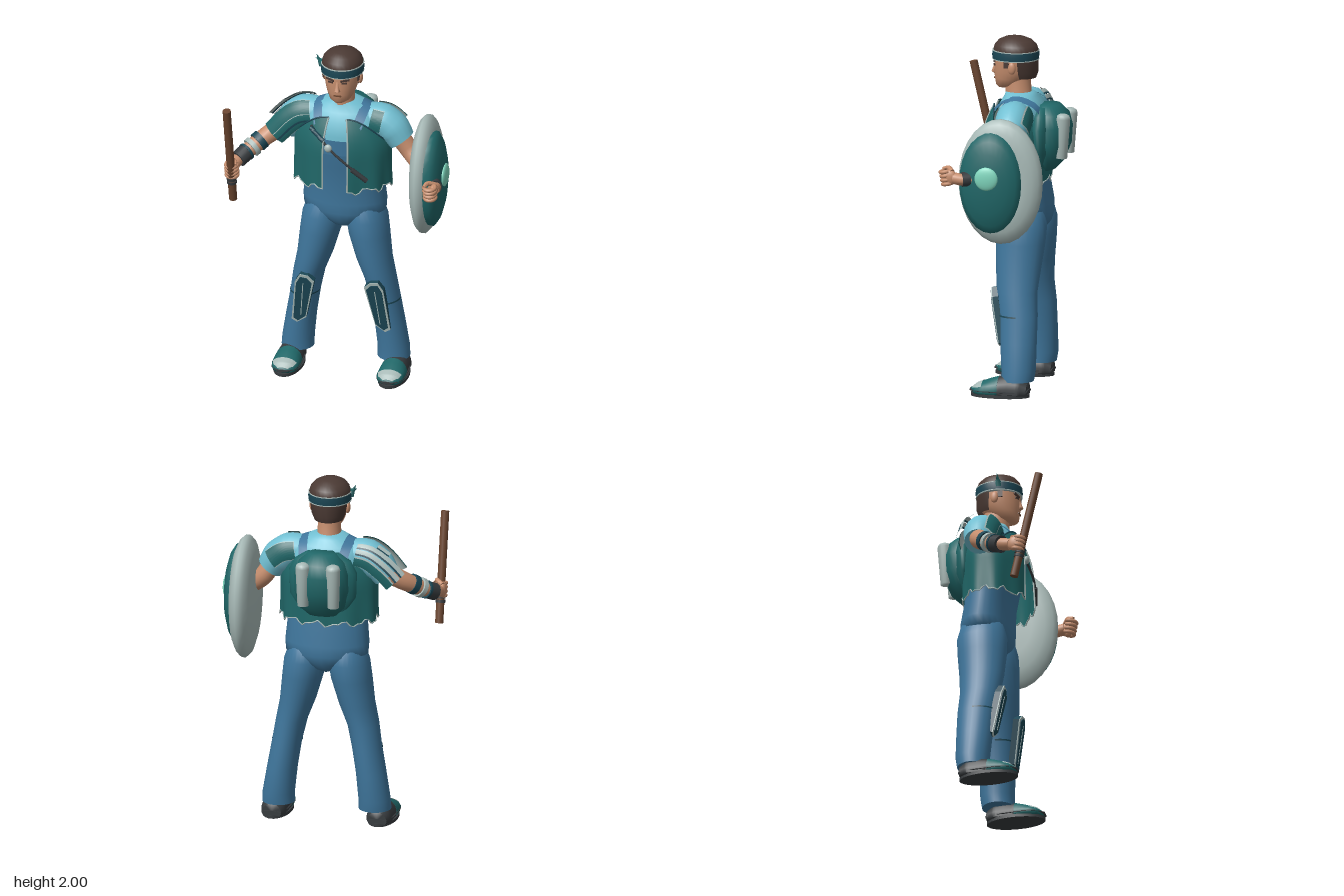
import * as THREE from 'three';
import { toCreasedNormals } from 'three/addons/utils/BufferGeometryUtils.js';

const mat = (name, color) => new THREE.MeshStandardMaterial({ name, color, side: THREE.DoubleSide });
const V = (x, y, z) => new THREE.Vector3(x, y, z);

// Grid surface from fn(u, v), u around and v along
function surface(nu, nv, fn, crease = 1) {
  const pos = [], idx = [];
  for (let j = 0; j <= nv; j++) for (let i = 0; i <= nu; i++) pos.push(...fn(i / nu, j / nv, j));
  for (let j = 0; j < nv; j++) for (let i = 0; i < nu; i++) {
    const a = j * (nu + 1) + i, c = a + nu + 1;
    idx.push(a, a + 1, c, a + 1, c + 1, c);
  }
  const g = new THREE.BufferGeometry();
  g.setAttribute('position', new THREE.Float32BufferAttribute(pos, 3));
  g.setIndex(idx);
  return toCreasedNormals(g, crease);
}

// Stack of horizontal ellipses [y, cx, cz, rx, rz]; optional arc, capped when closed
function loft(rings, a0 = 0, a1 = Math.PI * 2) {
  const shut = r => [r[0], r[1], r[2], 0, 0];
  const rows = a1 - a0 > 6.28 ? [shut(rings[0]), ...rings, shut(rings.at(-1))] : rings;
  return surface(28, rows.length - 1, (u, v, j) => {
    const [y, cx, cz, rx, rz] = rows[j], a = a0 + u * (a1 - a0);
    return [cx + rx * Math.sin(a), y, cz + rz * Math.cos(a)];
  });
}

// Limb along points [x, y, z, width, height]; angle 0 is the upper side
function limb(points, { a0 = 0, a1 = Math.PI * 2, steps = 12, floor = -1 } = {}) {
  const curve = new THREE.CatmullRomCurve3(points.map(p => V(p[0], p[1], p[2])));
  const closed = a1 - a0 > 6.28, n = closed ? steps + 2 : steps;
  return surface(18, n, (u, v, j) => {
    const t = THREE.MathUtils.clamp((closed ? j - 1 : j) / steps, 0, 1);
    const k = Math.min(Math.floor(t * (points.length - 1)), points.length - 2), f = t * (points.length - 1) - k;
    const end = closed && (j === 0 || j === n) ? 0 : 1;
    const w = end * THREE.MathUtils.lerp(points[k][3], points[k + 1][3], f);
    const h = end * THREE.MathUtils.lerp(points[k][4] ?? points[k][3], points[k + 1][4] ?? points[k + 1][3], f);
    const T = curve.getTangent(t), S = T.clone().cross(V(0, 1, 0)).normalize(), N = S.clone().cross(T);
    const a = a0 + u * (a1 - a0);
    const p = curve.getPoint(t).addScaledVector(S, w * Math.sin(a)).addScaledVector(N, h * Math.cos(a));
    return [p.x, Math.max(p.y, floor), p.z];
  });
}

export function createModel() {
  const model = new THREE.Group();
  model.name = 'fighter';
  const skin = mat('skin', 0xc68e6e), hair = mat('hair brown', 0x4b3a34), teal = mat('teal', 0x206768);
  const dark = mat('dark teal', 0x1b4654), shirt = mat('shirt blue', 0x72c0d3), denim = mat('denim blue', 0x3f769c);
  const grey = mat('pale grey', 0xa8bab7), coal = mat('charcoal', 0x383c3f), wood = mat('wood', 0x6b4630), mint = mat('mint', 0x7fd6bd);

  const add = (name, geo, material, parent = model) => {
    const m = new THREE.Mesh(geo, material);
    m.name = name;
    parent.add(m);
    return m;
  };
  const ball = (name, p, s, material, parent) => {
    const m = add(name, new THREE.SphereGeometry(1, 24, 16), material, parent);
    m.position.set(...p); m.scale.set(...s);
  };
  const box = (name, p, s, material, parent, ry = 0, rz = 0) => {
    const m = add(name, new THREE.BoxGeometry(...s), material, parent);
    m.position.set(...p); m.rotation.set(0, ry, rz);
  };
  const tube = (name, pts, r, material) =>
    add(name, new THREE.TubeGeometry(new THREE.CatmullRomCurve3(pts.map(p => V(...p))), 60, r, 6), material);

  // Overalls and shirt
  add('overallsBody', loft([[.885, 0, -.1, .03, .05], [.91, 0, -.1, .08, .1], [.95, 0, -.1, .16, .135], [1.0, 0, -.1, .235, .148],
    [1.06, 0, -.098, .24, .148], [1.19, 0, -.085, .228, .138], [1.3, 0, -.07, .23, .145], [1.4, 0, -.06, .235, .15]]), denim);
  add('bib', loft([[1.39, 0, -.06, .24, .155], [1.48, 0, -.06, .25, .156]], -.42, .42), denim);
  add('shirtBody', loft([[1.39, 0, -.06, .233, .148], [1.5, 0, -.06, .24, .15], [1.58, 0, -.065, .23, .14],
    [1.63, 0, -.07, .19, .115], [1.665, 0, -.065, .13, .09], [1.685, 0, -.06, .08, .08]]), shirt);
  add('neck', loft([[1.62, 0, -.06, .075, .08], [1.68, 0, -.05, .066, .074], [1.77, 0, -.045, .064, .072]]), skin);

  // Both sides: leg, knee pad, shoe, brace, sleeve, bottle, face halves
  for (const s of [1, -1]) {
    const side = new THREE.Group();
    side.name = s > 0 ? 'leftSide' : 'rightSide';
    side.scale.x = s;
    model.add(side);
    add('trouserLeg', loft([[.09, .277, -.11, .092, .092], [.15, .275, -.115, .09, .097], [.3, .255, -.11, .085, .103],
      [.45, .23, -.105, .083, .108], [.58, .205, -.09, .088, .115], [.7, .17, -.09, .1, .127],
      [.85, .14, -.095, .115, .14], [.95, .125, -.1, .118, .142], [1.03, .115, -.1, .1, .122], [1.1, .1, -.095, .07, .08]]), denim, side);
    add('kneeStrap', loft([[.447, .231, -.105, .087, .112], [.456, .229, -.105, .087, .112]], -1.5, 1.6), dark, side);
    const pad = new THREE.Group();
    pad.name = 'kneePad';
    pad.position.set(.215, .445, -.012);
    pad.rotation.x = .17;
    side.add(pad);
    const outline = [[-.07, .125], [-.035, .16], [.01, .165], [.04, .115], [.07, -.145], [.04, -.165], [-.015, -.125]];
    const plate = (k, depth) => new THREE.ExtrudeGeometry(
      new THREE.Shape(outline.map(p => new THREE.Vector2(p[0] * k, p[1] * (k + 1) / 2))), { depth, bevelEnabled: false });
    add('padBody', plate(1, .034), dark, pad);
    add('padRim', plate(1, .006), grey, pad).position.z = .034;
    add('padFace', plate(.82, .045), dark, pad);
    box('padRidge', [.003, 0, .044], [.005, .22, .006], grey, pad, 0, .1);
    // Shoe with a pale patch on the toe, over a flat sole
    const shoe = (name, pts, m, arc) => add(name, limb(pts.map(([z, w, top]) => [.303, .035, z, w, top - .035]), { floor: .015, ...arc }), m, side);
    shoe('shoeHeel', [[-.175, .055, .085], [-.13, .07, .12], [-.07, .072, .125], [-.01, .076, .115]], coal);
    shoe('shoeFront', [[-.012, .077, .116], [.04, .08, .1], [.085, .076, .082], [.12, .062, .066], [.148, .025, .045]], teal);
    shoe('shoeToePatch', [[.08, .079, .087], [.113, .068, .073], [.14, .034, .052]], grey, { a0: -1.05, a1: 1.05 });
    shoe('shoeWelt', [[-.18, .055, .045], [-.08, .078, .045], [.05, .084, .045], [.11, .07, .045], [.153, .03, .043]], coal);
    add('sole', loft([[0, .303, -.015, .083, .168], [.018, .303, -.015, .083, .168]]), coal, side);
    // Brace over the shoulder
    add('brace', surface(1, 16, (u, v) => {
      const p = new THREE.CatmullRomCurve3([V(.085, 1.45, .094), V(.115, 1.58, .073), V(.135, 1.655, -.02),
        V(.135, 1.665, -.08), V(.12, 1.61, -.19), V(.1, 1.45, -.218)]).getPoint(v);
      return [p.x + (u - .5) * .05, p.y - (u - .5) * .02, p.z];
    }), denim, side);
    add('sleeve', limb([[.13, 1.575, -.07, .082], [.22, 1.565, -.07, .097], [.285, 1.52, -.07, .095], [.335, 1.455, -.067, .078]]), shirt, side);
    // Pack bottle with a rounded top
    const bottle = add('bottle', new THREE.LatheGeometry([[0, -.125], [.032, -.125], [.041, .1], [.035, .118], [.018, .127], [0, .128]]
      .map(p => new THREE.Vector2(...p)), 18), grey, side);
    bottle.position.set(.087, 1.455, -.322);
    bottle.rotation.x = -.04;
    ball('ear', [.103, 1.83, -.035], [.014, .034, .022], skin, side);
    box('eye', [.04, 1.838, .079], [.03, .008, .008], hair, side, .3);
    box('brow', [.043, 1.855, .079], [.052, .011, .008], hair, side, .3, .2);
    box('sideburn', [.1, 1.85, -.003], [.009, .04, .028], hair, side);
  }

  // Open vest with folds, low armholes, flared front edges and a ragged hem
  const vestPoint = (u, v) => {
    const a = .27 + u * (Math.PI * 2 - .54), sideways = Math.sin(a) ** 4;
    const hem = 1.195 + .014 * Math.sin(a * 11) + .01 * Math.sin(a * 23);
    const y = THREE.MathUtils.lerp(hem, 1.615 - .16 * sideways, v);
    const taper = 1 - .26 * Math.max(0, (y - 1.4) / .2) ** 2 + .025 * Math.sin(a * 9) * (1 - v);
    const flare = .022 * Math.exp(-((u / .05) ** 2)) + .008 * Math.exp(-(((1 - u) / .05) ** 2));
    return [.277 * taper * Math.sin(a), y, -.047 + .183 * taper * Math.cos(a) + flare * (1 - v)];
  };
  add('vest', surface(72, 10, vestPoint), teal);
  const edge = (n, fn) => Array.from({ length: n + 1 }, (_, i) => fn(i / n));
  for (const u of [0, 1]) tube('vestFrontTrim', edge(8, t => vestPoint(u, t)), .005, grey);
  tube('vestHemTrim', edge(72, t => vestPoint(t, 0)), .004, grey);
  tube('vestTopTrim', edge(36, t => vestPoint(t, 1)), .005, dark);

  // Backpack, wide where it meets the vest
  add('backpackBase', loft([[1.27, 0, -.2, .13, .03], [1.36, 0, -.2, .19, .065], [1.5, 0, -.2, .195, .07],
    [1.57, 0, -.2, .16, .06], [1.61, 0, -.2, .1, .04]]), teal);
  add('backpack', loft([[1.25, 0, -.22, .08, .04], [1.3, 0, -.23, .13, .08], [1.4, 0, -.235, .155, .115],
    [1.5, 0, -.235, .155, .122], [1.57, 0, -.235, .13, .105], [1.62, 0, -.23, .075, .06]]), teal);

  // Shoulder guards: teal shells on pale rims, and loose pale feathers
  const shell = (name, s, a0, a1, from, to, grow, m, flare = 0) => add(name, limb(
    [[.17, 1.572, -.07, .1], [.235, 1.56, -.07, .106], [.3, 1.512, -.068, .106], [.375, 1.43, -.062, .1]]
      .slice(from, to).map((p, i) => [s * p[0], p[1], p[2], p[3] + grow + flare * i]), { a0, a1 }), m);
  for (const [s, a0, a1, from, to] of [[-1, -2.1, -1.3, 0, 4], [-1, -1.4, -.5, 0, 4], [-1, 1.4, 2, 0, 4], [1, .6, 1.9, 0, 2], [1, -1.9, -.8, 0, 3]]) {
    shell('guardRim', s, a0, a1, from, to, 0, grey);
    shell('guardFace', s, a0 + .07, a1 - .07, from, to, .006, teal);
  }
  [[.3, 1, 3], [.65, 0, 4], [1, 0, 4]].forEach(([a, from, to]) => {
    shell('guardFeather', -1, a, a + .22, from, to, .004, grey, .006);
    shell('guardFeatherEdge', -1, a + .22, a + .31, from, to, .004, dark, .006);
  });
  shell('guardStripe', -1, -1.75, -1.65, 0, 4, .011, dark);

  // Diagonal chest strap with two grips and a buckle
  tube('chestStrap', [[-.15, 1.56, .09], [-.04, 1.45, .13], [.08, 1.36, .148], [.18, 1.27, .12]], .007, coal);
  add('strapGrip', limb([[-.15, 1.55, .1, .013], [-.07, 1.49, .13, .013]]), dark);
  add('strapGrip', limb([[.1, 1.34, .148, .014], [.18, 1.27, .125, .014]]), coal);
  ball('buckle', [-.04, 1.45, .135], [.022, .024, .015], grey);

  // Head
  add('face', loft([[1.705, 0, .035, .03, .03], [1.72, 0, .015, .058, .063], [1.76, 0, -.012, .08, .096],
    [1.8, 0, -.025, .092, .113], [1.86, 0, -.03, .102, .117], [1.93, 0, -.03, .1, .115]]), skin);
  add('nose', loft([[1.782, 0, .083, .014, .008], [1.79, 0, .083, .018, .022], [1.815, 0, .08, .011, .016], [1.85, 0, .076, .008, .01]]), skin);
  box('mouth', [0, 1.757, .082], [.044, .008, .008], wood);
  add('hairCap', loft([[1.88, 0, -.035, .113, .125], [1.92, 0, -.035, .117, .128], [1.95, 0, -.034, .108, .118],
    [1.975, 0, -.032, .085, .094], [1.992, 0, -.03, .05, .056], [2, 0, -.03, .012, .014]]), hair);
  add('hairBack', loft([[1.765, 0, -.05, .083, .1], [1.8, 0, -.042, .1, .12], [1.89, 0, -.035, .114, .126]], 1.8, 4.48), hair);
  add('headband', loft([[1.868, 0, -.033, .119, .13], [1.895, 0, -.034, .122, .133], [1.92, 0, -.035, .119, .13]]), dark);
  for (const y of [1.87, 1.919]) add('headbandEdge', loft([[y - .0025, 0, -.034, .121, .132], [y + .0025, 0, -.034, .121, .132]]), grey);
  for (const [r, length] of [[.45, .075], [1.1, .05]]) {
    const tail = add('headbandKnot', new THREE.ConeGeometry(.02, length, 4), teal);
    tail.position.set(-.128, 1.925, -.01);
    tail.rotation.z = r;
  }

  // Arms, bands and fists
  add('rightArm', limb([[-.31, 1.49, -.07, .056], [-.41, 1.425, -.035, .053], [-.5, 1.36, .045, .046], [-.555, 1.32, .11, .035], [-.575, 1.3, .18, .033]]), skin);
  add('leftArm', limb([[.31, 1.49, -.07, .056], [.39, 1.38, -.07, .052], [.49, 1.31, .01, .046], [.575, 1.285, .12, .034], [.58, 1.295, .19, .033]]), skin);
  const band = (name, a, b, r, m) => add(name, limb([[...a, r], [...b, r]], { steps: 2 }), m);
  band('upperBand', [-.455, 1.397, .002], [-.478, 1.378, .024], .056, dark);
  band('paleBand', [-.492, 1.367, .036], [-.508, 1.354, .053], .057, grey);
  band('rightBracer', [-.527, 1.34, .075], [-.562, 1.313, .125], .049, coal);
  band('bracerEdge', [-.522, 1.344, .068], [-.53, 1.338, .079], .052, dark);
  band('leftBracer', [.56, 1.288, .1], [.581, 1.288, .14], .041, coal);
  for (const s of [1, -1]) {
    const fist = new THREE.Group();
    fist.name = s > 0 ? 'leftFist' : 'rightFist';
    fist.position.set(s * .572, 1.295, .225);
    fist.rotation.x = .2;
    fist.scale.x = s;
    model.add(fist);
    ball('palm', [.018, 0, -.015], [.022, .045, .045], skin, fist);
    for (let i = 0; i < 4; i++) {
      const finger = add('finger', new THREE.TorusGeometry(.031, .0115, 8, 16, 4.3), skin, fist);
      finger.position.y = .036 - i * .023;
      finger.rotation.set(Math.PI / 2, 0, -.6);
    }
    add('thumb', limb([[.02, .03, -.04, .014], [-.015, .05, -.015, .013], [-.028, .048, .02, .01]]), skin, fist);
  }

  // Wooden staff with a wrapped grip below the hand
  const staff = add('staff', new THREE.CylinderGeometry(.023, .023, .632, 14), wood);
  staff.position.set(-.571, 1.41, .272);
  staff.rotation.x = .23;
  for (const y of [-.168, -.192]) add('staffWrap', new THREE.CylinderGeometry(.028, .028, .016, 14), coal, staff).position.y = y;

  // Shield: thick pale rim, teal dome and boss, turned from profiles facing +x
  const disc = (name, profile, p, ry, rz, m) => {
    const d = add(name, new THREE.LatheGeometry(profile.map(q => new THREE.Vector2(...q)), 28), m);
    d.position.set(...p);
    d.rotation.z = -Math.PI / 2;
    d.scale.set(ry, 1, rz);
  };
  disc('shieldRim', [[0, -.07], [.45, -.066], [.75, -.052], [.93, -.032], [1, -.008], [1, .012], [.93, .036], [.8, .056], [.6, .068], [0, .07]],
    [.475, 1.265, -.06], .355, .24, grey);
  disc('shieldDome', [[1, -.03], [1, .004], [.85, .03], [.6, .05], [.3, .062], [0, .065]], [.54, 1.265, -.015], .285, .178, teal);
  ball('shieldBoss', [.599, 1.3, -.005], [.02, .067, .067], mint);
  return model;
}
